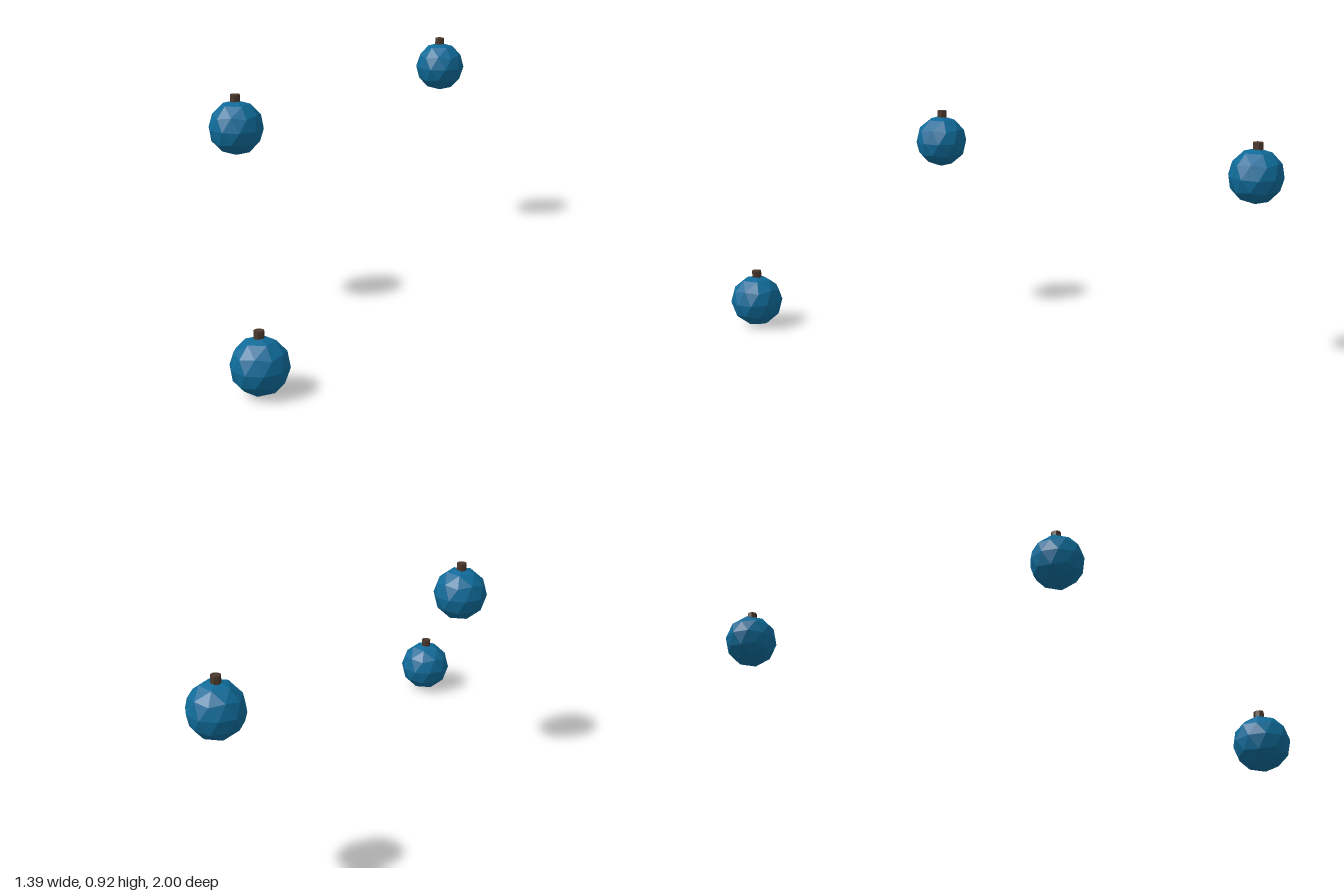
import * as THREE from 'three';

const RADIUS = 0.11;

export function createModel() {
  const model = new THREE.Group();
  const blue = new THREE.MeshStandardMaterial({ color: 0x0f6a98, flatShading: true });
  const brown = new THREE.MeshStandardMaterial({ color: 0x4a382c, flatShading: true });

  // Faceted ball, turned so that one corner points straight up
  const ballGeometry = new THREE.IcosahedronGeometry(RADIUS, 1);
  ballGeometry.rotateX(-Math.atan((1 + Math.sqrt(5)) / 2));
  ballGeometry.rotateY(THREE.MathUtils.degToRad(10));

  // Short stem that starts just inside the ball
  const stemGeometry = new THREE.CylinderGeometry(0.02, 0.02, 0.04, 8);

  const places = [
    [-0.588, 0.79, -0.89],
    [-0.141, 0.783, 0.512],
    [0.585, 0.112, 0.89],
  ];
  for (const [x, y, z] of places) {
    const bauble = new THREE.Group();
    bauble.name = 'bauble';
    bauble.position.set(x, y, z);

    const ball = new THREE.Mesh(ballGeometry, blue);
    ball.name = 'ball';

    const stem = new THREE.Mesh(stemGeometry, brown);
    stem.name = 'stem';
    stem.position.set(-0.004, 0.112, 0);

    bauble.add(ball, stem);
    model.add(bauble);
  }
  return model;
}
